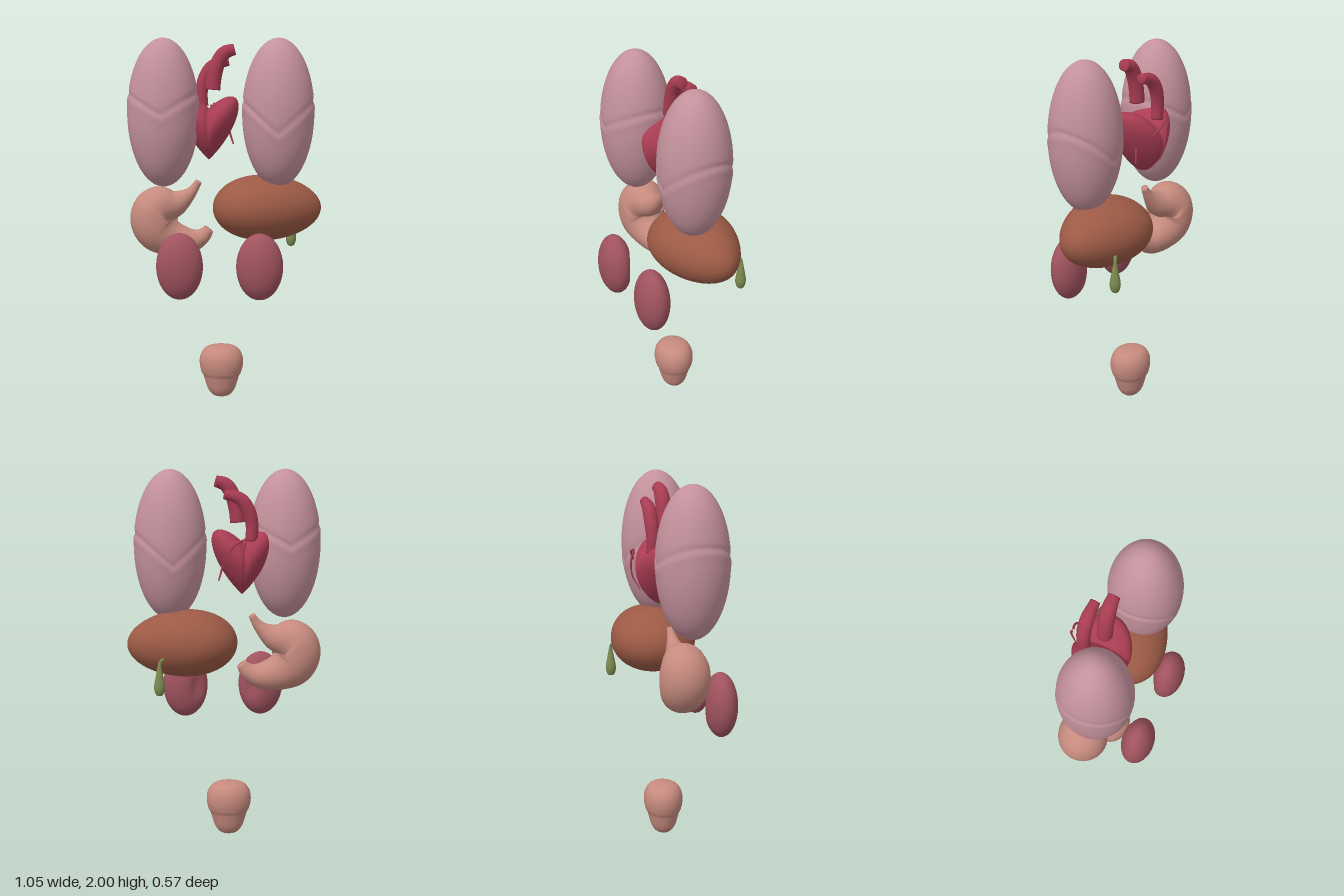
import * as THREE from 'three';
import { mergeVertices } from 'three/addons/utils/BufferGeometryUtils.js';

const mat = (name, color) => {
  const m = new THREE.MeshStandardMaterial({ color });
  m.name = name;
  return m;
};

// Weld the seam and recompute smooth normals
function smooth(geo) {
  geo.deleteAttribute('uv');
  geo.deleteAttribute('normal');
  const g = mergeVertices(geo, 1e-5);
  g.computeVertexNormals();
  return g;
}

// Unit sphere whose vertices are moved by a rule
function blob(rule, ws = 64, hs = 48) {
  const geo = new THREE.SphereGeometry(1, ws, hs);
  const pos = geo.attributes.position;
  const p = new THREE.Vector3();
  for (let i = 0; i < pos.count; i++) {
    p.fromBufferAttribute(pos, i);
    rule(p);
    pos.setXYZ(i, p.x, p.y, p.z);
  }
  return smooth(geo);
}

// Tube through [x, y, z, radius] stations, closed at both ends
function taperedTube(stations, n = 40, sides = 24) {
  const curve = new THREE.CatmullRomCurve3(stations.map(s => new THREE.Vector3(s[0], s[1], s[2])));
  const radii = new THREE.SplineCurve(stations.map((s, i) => new THREE.Vector2(i, s[3])));
  const geo = new THREE.TubeGeometry(curve, n, 1, sides);
  const pos = geo.attributes.position, nor = geo.attributes.normal;
  const v = new THREE.Vector3();
  for (let i = 0; i <= n; i++) {
    const u = Math.min(Math.max(i, 1), n - 1) / n;
    const r = i === 0 || i === n ? 0 : radii.getPoint(curve.getUtoTmapping(u)).y;
    const c = curve.getPointAt(u);
    for (let j = 0; j <= sides; j++) {
      const k = i * (sides + 1) + j;
      v.fromBufferAttribute(nor, k).multiplyScalar(r).add(c);
      pos.setXYZ(k, v.x, v.y, v.z);
    }
  }
  return smooth(geo);
}

function lathe(points, segments = 40) {
  const curve = new THREE.SplineCurve(points.map(p => new THREE.Vector2(...p)));
  const pts = curve.getPoints(40).map(p => new THREE.Vector2(Math.max(p.x, 0), p.y));
  pts[0].x = pts[pts.length - 1].x = 0;
  return smooth(new THREE.LatheGeometry(pts, segments));
}

export function createModel() {
  const model = new THREE.Group();
  model.name = 'organs';
  const lungPink = mat('lung pink', 0xc4919c);
  const heartRed = mat('heart red', 0xa83c52);
  const liverBrown = mat('liver brown', 0x9c5a45);
  const stomachPink = mat('stomach pink', 0xc68a7e);
  const kidneyRed = mat('kidney red', 0xa0535e);
  const gallGreen = mat('gall green', 0x7b8a50);

  const add = (name, geo, material, x = 0, y = 0, z = 0) => {
    const m = new THREE.Mesh(geo, material);
    m.name = name;
    m.position.set(x, y, z);
    model.add(m);
    return m;
  };

  // Lungs: tall ellipsoids with a V-shaped fissure pressed in
  const lung = (low, rise) => blob(p => {
    const d = p.y - (low + rise * Math.abs(p.x));
    const s = 1 - 0.03 * Math.exp(-((d / 0.035) ** 2)) + 0.012 * Math.exp(-(((d + 0.09) / 0.06) ** 2));
    p.set(p.x * 0.194 * s, p.y * 0.4, p.z * 0.193 * s);
  }, 80, 110);
  add('rightLung', lung(0, 0.28), lungPink, -0.335, 1.6, 0);
  add('leftLung', lung(-0.25, 0.42), lungPink, 0.285, 1.6, 0);

  // Heart: two lobes lifted away from the middle, tapering to a tip
  const heart = blob(p => {
    const a = Math.abs(p.x);
    const taper = 0.86 + 0.14 * p.y;
    const crease = 1 - 0.1 * Math.exp(-((a / 0.06) ** 2));
    p.set(p.x * 0.162, p.y * 0.14 + a * 0.15, p.z * 0.172 * taper * crease);
  }, 80, 56);
  add('heart', heart, heartRed, -0.092, 1.48, -0.075);

  // Great vessels arching out of the heart
  add('aorta', taperedTube([
    [-0.07, 1.715, -0.065, 0.04], [-0.062, 1.79, -0.065, 0.04], [-0.04, 1.87, -0.065, 0.04],
    [-0.005, 1.92, -0.065, 0.037], [0.055, 1.94, -0.065, 0.03]]), heartRed);
  add('pulmonaryArtery', taperedTube([
    [-0.13, 1.62, -0.15, 0.032], [-0.135, 1.71, -0.15, 0.034], [-0.115, 1.79, -0.153, 0.036],
    [-0.07, 1.85, -0.152, 0.034], [0.02, 1.875, -0.148, 0.025]]), heartRed);

  // Thin vessels over the heart
  const veins = [
    [[-0.09, 1.64, -0.235], [-0.075, 1.58, -0.25], [-0.07, 1.5, -0.243], [-0.085, 1.42, -0.2]],
    [[-0.08, 1.64, -0.235], [-0.04, 1.62, -0.24], [0.0, 1.57, -0.215]],
    [[0.01, 1.53, -0.12], [0.025, 1.47, -0.13], [0.042, 1.415, -0.14]],
  ];
  veins.forEach(path => add('heartVein',
    taperedTube(path.map((p, i) => [...p, 0.007 - i * 0.0015]), 20, 8), heartRed));

  // Liver: wide ellipsoid thinning toward its outer end
  add('liver', blob(p => {
    p.set(p.x * 0.297, p.y * 0.179 * (1 - 0.08 * p.x), p.z * 0.22 * (1 - 0.25 * p.x) - 0.01 * p.x);
  }), liverBrown, 0.227, 1.078, -0.062);

  // Gallbladder and its duct
  add('gallbladder', lathe([
    [0, 0.83], [0.018, 0.836], [0.028, 0.865], [0.028, 0.89], [0.021, 0.93],
    [0.013, 0.97], [0.008, 0.995], [0, 1.0]], 24), gallGreen, 0.365, 0, -0.25);
  add('gallDuct', taperedTube([
    [0.365, 0.98, -0.25, 0.01], [0.36, 1.01, -0.247, 0.009], [0.345, 1.02, -0.235, 0.009],
    [0.33, 1.03, -0.21, 0.008]], 16, 10), gallGreen);

  // Stomach: swollen curved tube
  add('stomach', taperedTube([
    [-0.142, 1.23, -0.06, 0.018], [-0.19, 1.16, -0.06, 0.032], [-0.265, 1.105, -0.06, 0.07],
    [-0.365, 1.075, -0.06, 0.122], [-0.395, 1.02, -0.06, 0.132], [-0.37, 0.95, -0.06, 0.126],
    [-0.3, 0.905, -0.06, 0.1], [-0.2, 0.89, -0.06, 0.073], [-0.13, 0.915, -0.06, 0.046],
    [-0.085, 0.965, -0.06, 0.028]], 72, 40), stomachPink);

  // Kidneys: beans with a hollow facing inward and back
  for (const side of [-1, 1]) {
    const hollow = new THREE.Vector3(-side * 0.55, 0, -0.83).normalize();
    const kidney = blob(p => {
      const s = 1 - 0.24 * Math.exp(-p.distanceToSquared(hollow) / 0.16);
      p.set(p.x * 0.125 * s, p.y * 0.18, p.z * 0.088 * s);
    });
    add(side < 0 ? 'rightKidney' : 'leftKidney', kidney, kidneyRed, side < 0 ? -0.237 : 0.19, 0.795, 0.197);
  }

  // Bladder: domed top over a narrower neck
  const bladder = add('bladder', lathe([
    [0, 0], [0.045, 0.01], [0.075, 0.045], [0.092, 0.095], [0.101, 0.125], [0.112, 0.145],
    [0.122, 0.19], [0.117, 0.24], [0.09, 0.28], [0.045, 0.295], [0, 0.298]]), stomachPink, -0.024, 0, -0.062);
  bladder.scale.z = 0.88;

  return model;
}
